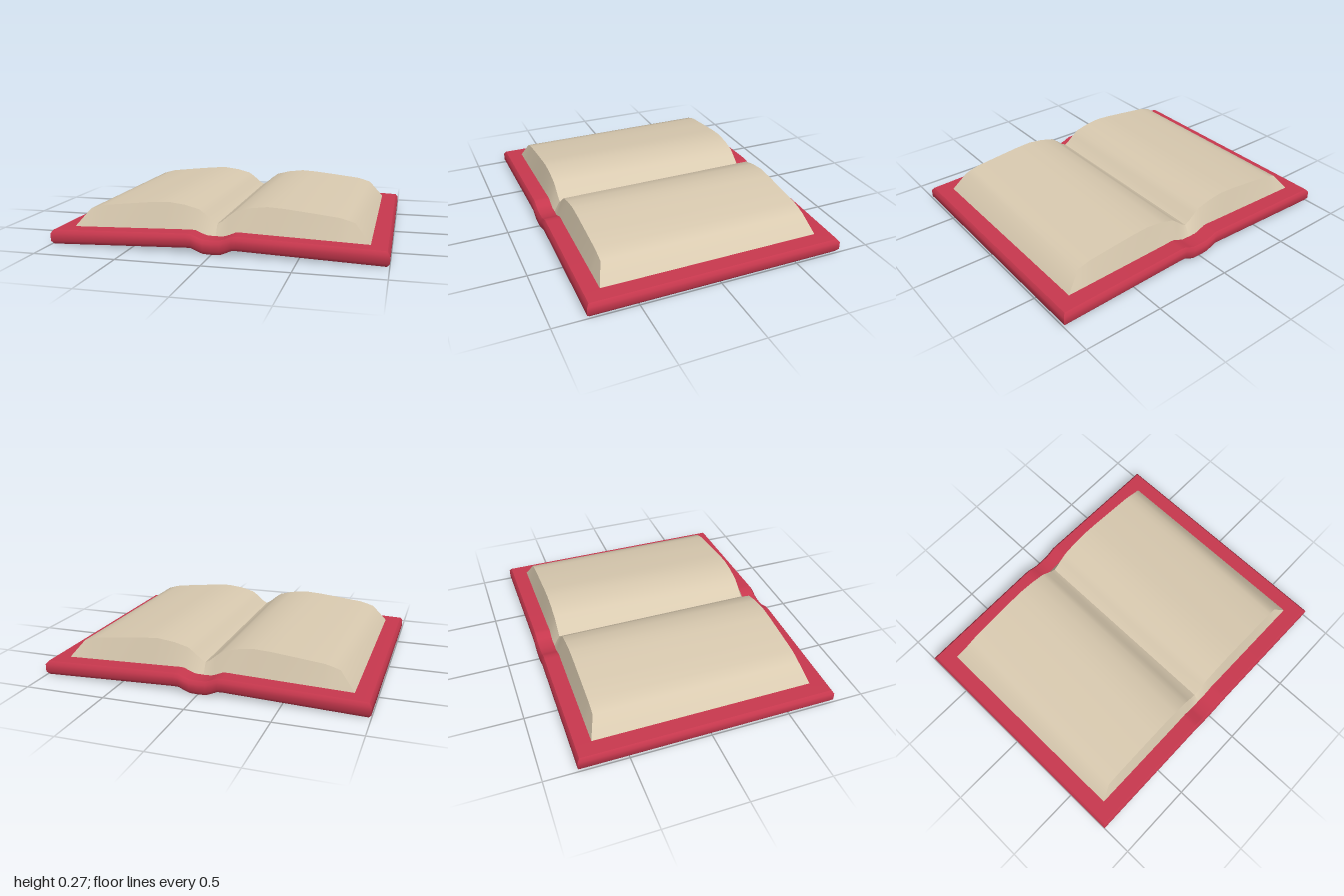
import * as THREE from 'three';
import { toCreasedNormals } from 'three/addons/utils/BufferGeometryUtils.js';

// Cover stations from the spine outwards: [x, underside y, top y]
const COVER = [
  [0, 0, 0.085], [0.05, 0.002, 0.087], [0.08, 0.013, 0.097], [0.12, 0.031, 0.114],
  [0.15, 0.032, 0.116], [0.985, 0.002, 0.089],
];
// Page stations from the gutter outwards: [x, top y]
const PAGE = [
  [0, 0.15], [0.03, 0.167], [0.07, 0.202], [0.11, 0.231], [0.2, 0.254], [0.3, 0.266],
  [0.4, 0.26], [0.55, 0.244], [0.71, 0.226], [0.75, 0.216], [0.8, 0.2],
];

// Skin rings of [x, y, z] points, ordered by rising x, skipping collapsed triangles
function loft(rings, capped) {
  const pos = [];
  const tri = (a, b, c) => {
    const [p, q, r] = [a, b, c].map((v) => new THREE.Vector3(...v));
    if (q.sub(p).cross(r.sub(p)).length() > 1e-9) pos.push(...a, ...b, ...c);
  };
  const n = rings[0].length;
  for (let i = 0; i < rings.length - 1; i++) {
    for (let j = 0; j < n; j++) {
      const k = (j + 1) % n;
      const [a, b, c, d] = [rings[i][j], rings[i + 1][j], rings[i + 1][k], rings[i][k]];
      tri(a, b, c);
      tri(a, c, d);
    }
  }
  if (capped) {
    const first = rings[0], last = rings[rings.length - 1];
    for (let j = 1; j < n - 1; j++) {
      tri(first[0], first[j], first[j + 1]);
      tri(last[0], last[j + 1], last[j]);
    }
  }
  const geo = new THREE.BufferGeometry();
  geo.setAttribute('position', new THREE.Float32BufferAttribute(pos, 3));
  return toCreasedNormals(geo, 0.75);
}

// Height of the cover's top surface at distance x from the spine
function coverTop(x) {
  const i = Math.max(1, COVER.findIndex((s) => s[0] >= x));
  const [a, b] = [COVER[i - 1], COVER[i]];
  return THREE.MathUtils.mapLinear(x, a[0], b[0], a[2], b[2]);
}

// Chamfered cover section
function coverRing(x, low, high, inset, chamfer) {
  const d = 0.8;
  const side = [[low, d - inset], [low + chamfer, d], [high - chamfer, d], [high, d - inset]];
  const back = side.map(([y, z]) => [y, -z]).reverse();
  return [...side, ...back].map(([y, z]) => [x, y, z]);
}

// Page block section with sloping head and foot
function pageRing(x, low, high, topZ) {
  return [[x, low, 0.69], [x, high, topZ], [x, high, -topZ], [x, low, -0.69]];
}

export function createModel() {
  const book = new THREE.Group();
  book.name = 'openBook';
  const add = (name, geometry, color) => {
    const mesh = new THREE.Mesh(geometry, new THREE.MeshStandardMaterial({ color }));
    mesh.name = name;
    book.add(mesh);
  };

  // Cover: both boards and the dipped spine in one piece
  const half = COVER.map(([x, low, high]) => coverRing(x, low, high, 0.015, 0.02));
  half.push(coverRing(1, 0.022, 0.069, 0, 0));
  const mirror = (rings) => rings.map((r) => r.map(([x, y, z]) => [-x, y, z])).reverse();
  add('cover', loft([...mirror(half.slice(1)), ...half], true), 0xc8384e);

  // Two page blocks meeting in the gutter
  const pages = PAGE.map(([x, high]) => pageRing(x, coverTop(x) - 0.002, high, 0.65));
  const edge = coverTop(0.892) - 0.002;
  pages.push(pageRing(0.892, edge, edge, 0.69));
  add('leftPages', loft(pages, false), 0xd9cab0);
  add('rightPages', loft(mirror(pages), false), 0xd9cab0);

  return book;
}
